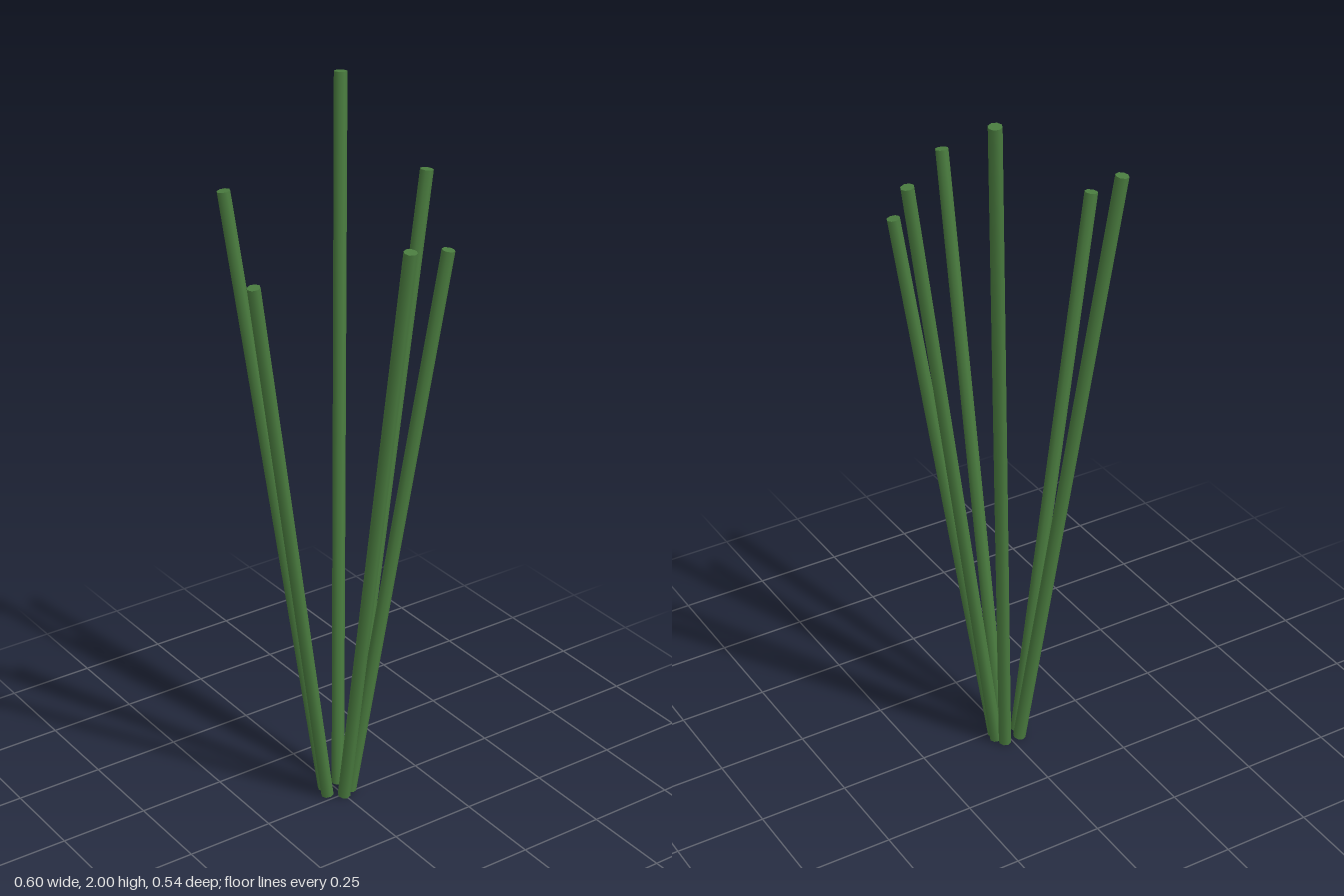
import * as THREE from 'three';

const RADIUS = 0.0178;
const SIDES = 8;

// Base and tip centres of each stem
const STEMS = [
  [[0.02, 0.002, -0.056], [0.169, 1.998, -0.254]],
  [[-0.027, 0.002, -0.056], [-0.211, 1.765, -0.222]],
  [[-0.038, 0.002, -0.024], [-0.282, 1.602, 0.02]],
  [[-0.002, 0.002, 0.006], [0.021, 1.702, 0.254]],
  [[0.028, 0.002, -0.008], [0.237, 1.617, 0.123]],
  [[0.034, 0.002, -0.03], [0.28, 1.778, -0.03]],
];

export function createModel() {
  const model = new THREE.Group();
  model.name = 'stemBunch';
  const green = new THREE.MeshStandardMaterial({ color: 0x4a7c3f });
  green.name = 'stemGreen';
  const up = new THREE.Vector3(0, 1, 0);

  // Straight stems leaning outward from a common base
  STEMS.forEach(([base, tip], i) => {
    const a = new THREE.Vector3(...base);
    const b = new THREE.Vector3(...tip);
    const axis = b.clone().sub(a);
    const stem = new THREE.Mesh(
      new THREE.CylinderGeometry(RADIUS, RADIUS, axis.length(), SIDES),
      green
    );
    stem.name = `stem${i + 1}`;
    stem.position.copy(a).add(b).multiplyScalar(0.5);
    stem.quaternion.setFromUnitVectors(up, axis.normalize());
    model.add(stem);
  });
  return model;
}
